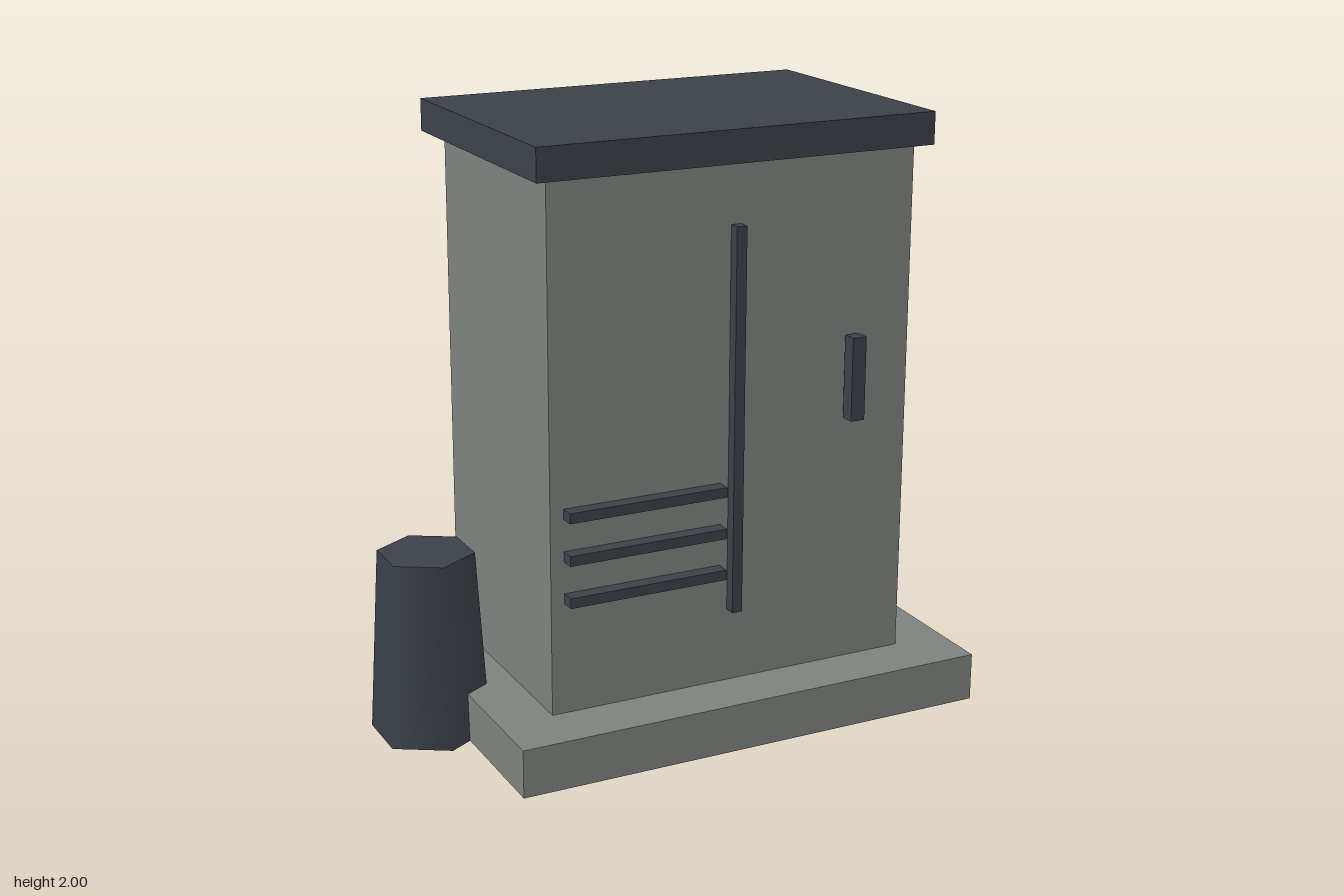
import * as THREE from 'three';

export function createModel() {
  const group = new THREE.Group();
  const stone = new THREE.MeshStandardMaterial({ color: 0x7d827e });
  stone.name = 'grey casing';
  const dark = new THREE.MeshStandardMaterial({ color: 0x3b4148 });
  dark.name = 'dark slate';

  // Box given by its extents on each axis
  function box(name, material, [x0, x1], [y0, y1], [z0, z1]) {
    const mesh = new THREE.Mesh(new THREE.BoxGeometry(x1 - x0, y1 - y0, z1 - z0), material);
    mesh.position.set((x0 + x1) / 2, (y0 + y1) / 2, (z0 + z1) / 2);
    mesh.name = name;
    group.add(mesh);
  }

  // Plinth, cabinet and overhanging lid
  box('plinth', stone, [-0.703, 0.947], [0, 0.162], [-0.6, 0.6]);
  box('cabinet', stone, [-0.52, 0.762], [0.162, 1.893], [-0.41, 0.41]);
  box('lid', dark, [-0.568, 0.81], [1.893, 2], [-0.495, 0.453]);

  // Door seam and handle
  box('doorSeam', dark, [0.104, 0.14], [0.412, 1.695], [0.41, 0.448]);
  box('handle', dark, [0.517, 0.567], [1.015, 1.295], [0.425, 0.475]);

  // Vent slats on the right-hand door
  for (let i = 0; i < 3; i++) {
    const y = 0.554 + i * 0.141;
    box('ventSlat' + (i + 1), dark, [-0.474, 0.076], [y - 0.017, y + 0.017], [0.41, 0.458]);
  }

  // Tapered six-sided post beside the plinth
  const post = new THREE.Mesh(new THREE.CylinderGeometry(0.16, 0.198, 0.622, 6), dark);
  post.position.set(-0.78, 0.311, 0);
  post.name = 'post';
  group.add(post);

  return group;
}
